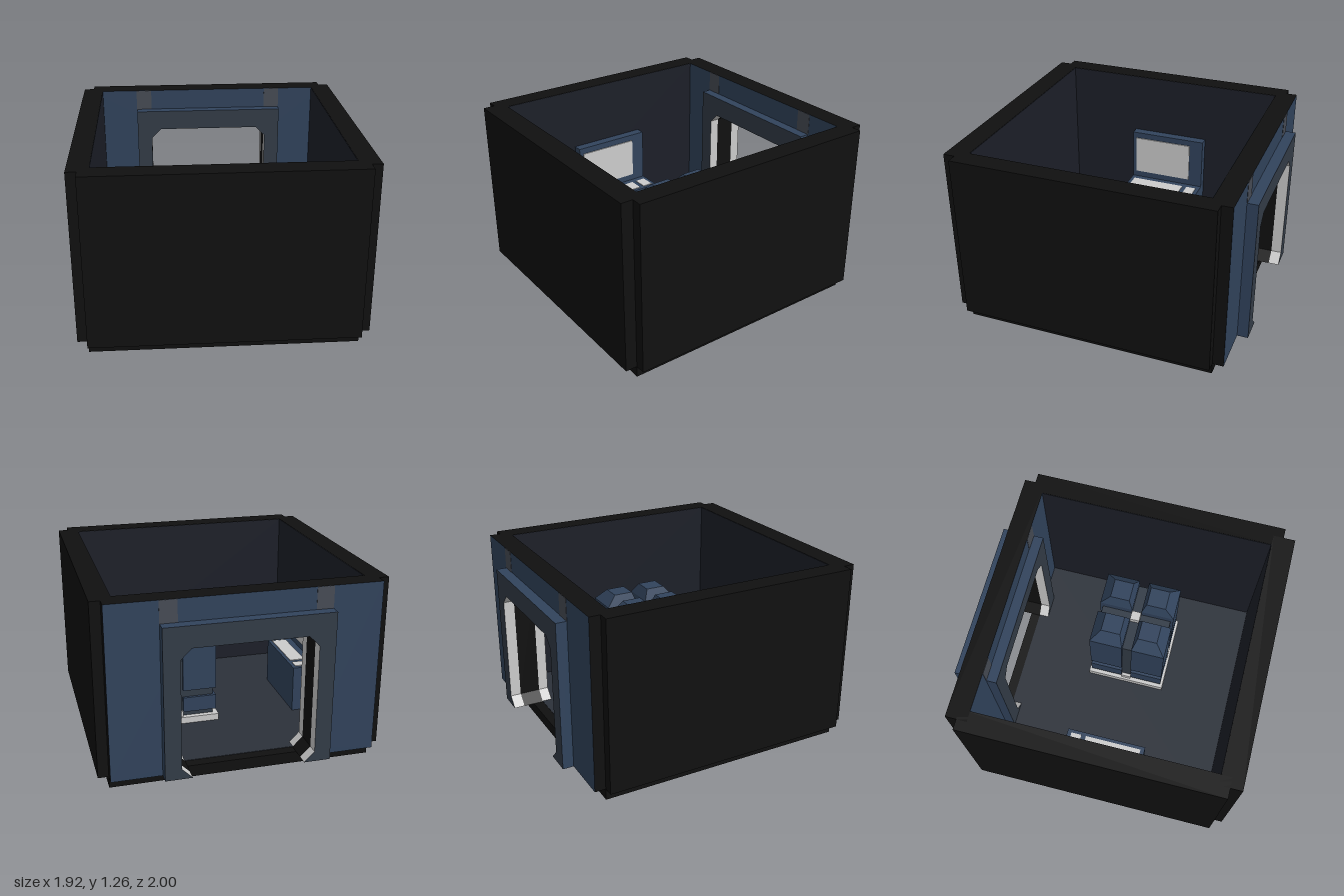
import * as THREE from 'three';

const mat = (color) => new THREE.MeshStandardMaterial({ color, flatShading: true });
const black = mat(0x101010);
const lining = mat(0x1c1f28);
const floorTone = mat(0x2c313a);
const blue = mat(0x31435c);
const slate = mat(0x333c47);
const stripeTone = mat(0x474c55);
const grey = mat(0xcccccc);

const FLOOR = 0.08, TOP = 1.26;

// Box given by its minimum and maximum corners
function box(parent, name, material, [x0, y0, z0], [x1, y1, z1]) {
  const mesh = new THREE.Mesh(new THREE.BoxGeometry(x1 - x0, y1 - y0, z1 - z0), material);
  mesh.position.set((x0 + x1) / 2, (y0 + y1) / 2, (z0 + z1) / 2);
  mesh.name = name;
  parent.add(mesh);
  return mesh;
}

// Doorway outline with cut corners, grown outward by g, from right foot to left foot
function doorway(g) {
  const w = 0.445 + g, t = 0.965 + g, c = 0.07;
  const half = [[w - c + g * 0.4, FLOOR], [w, FLOOR + c], [w, t - c], [w - c, t]];
  return [...half, ...half.map(([x, y]) => [-x, y]).reverse()];
}

// Arch between an outer outline and the doorway, pulled along z
function arch(parent, name, materials, outer, g, z0, z1) {
  const points = [...outer, ...doorway(g).reverse()].map(([x, y]) => new THREE.Vector2(x, y));
  const geo = new THREE.ExtrudeGeometry(new THREE.Shape(points), { depth: z1 - z0, bevelEnabled: false });
  const mesh = new THREE.Mesh(geo, materials);
  mesh.position.z = z0;
  mesh.name = name;
  parent.add(mesh);
}

const rectOutline = (w, t) => [[w, FLOOR], [w, t], [-w, t], [-w, FLOOR]];

// Block whose upper edges slope in: wide on the outer sides, narrow on the inner ones
function bevelledBlock(parent, sx, sz, cx, cz) {
  const inner = 0.035, outer = 0.275, low = 0.33, shoulder = 0.75, top = 0.83;
  const geo = new THREE.BoxGeometry(1, 1, 1, 1, 2, 1);
  const p = geo.attributes.position;
  for (let i = 0; i < p.count; i++) {
    const level = p.getY(i);
    const place = (v, s) => {
      const isOuter = v * s > 0;
      const inset = level > 0.4 ? (isOuter ? -0.07 : 0.03) : 0;
      return s * ((isOuter ? outer : inner) + inset);
    };
    const y = level > 0.4 ? top : level < -0.4 ? low : shoulder;
    p.setXYZ(i, cx + place(p.getX(i), sx), y, cz + place(p.getZ(i), sz));
  }
  geo.computeVertexNormals();
  const mesh = new THREE.Mesh(geo, blue);
  mesh.name = 'crateUpperBlock';
  parent.add(mesh);
}

function createShell() {
  const g = new THREE.Group();
  g.name = 'roomShell';
  // Floor slab and its inner covering
  box(g, 'floorSlab', black, [-0.89, 0, -0.85], [0.89, FLOOR, 0.92]);
  box(g, 'floorCovering', floorTone, [-0.82, FLOOR - 0.01, -0.78], [0.82, FLOOR + 0.003, 0.85]);
  // Front and side walls with inner linings
  box(g, 'frontWall', black, [-0.89, FLOOR, 0.85], [0.89, TOP, 1]);
  box(g, 'frontLining', lining, [-0.82, FLOOR, 0.847], [0.82, TOP - 0.002, 0.851]);
  for (const s of [-1, 1]) {
    const wall = box(g, 'sideWall', black, [0.82, FLOOR, -0.85], [0.96, TOP, 0.92]);
    const skin = box(g, 'sideLining', lining, [0.817, FLOOR, -0.78], [0.821, TOP - 0.002, 0.85]);
    wall.position.x *= s;
    skin.position.x *= s;
  }
  return g;
}

function createDoorWall() {
  const g = new THREE.Group();
  g.name = 'doorWall';
  arch(g, 'backWall', [blue, black], rectOutline(0.89, TOP), 0, -0.925, -0.78);
  // Door surround on both faces of the wall, with a pale lining in the opening
  for (const [z0, z1] of [[-1, -0.925], [-0.78, -0.71]]) {
    arch(g, 'doorSurround', [slate, blue], rectOutline(0.555, 1.11), 0.006, z0, z1);
    arch(g, 'doorLining', [slate, grey], doorway(0.006), 0, z0, z1);
  }
  // Paler upright stripes above the door
  for (const x of [-0.5, 0.5])
    box(g, 'wallStripe', stripeTone, [x - 0.057, 1.1, -0.927], [x + 0.057, TOP - 0.001, -0.778]);
  return g;
}

function createCrate() {
  const g = new THREE.Group();
  g.name = 'crate';
  const cx = 0.292, cz = 0.033;
  const centred = (name, m, h, y0, y1) => box(g, name, m, [cx - h, y0, cz - h], [cx + h, y1, cz + h]);
  centred('crateBase', grey, 0.292, FLOOR, 0.13);
  centred('crateCore', slate, 0.255, 0.13, 0.7);
  centred('crateCentrePost', grey, 0.034, 0.7, 0.74);
  // Four bevelled blocks above four low drawers, split by a cross of grooves
  for (const sx of [-1, 1]) for (const sz of [-1, 1]) {
    bevelledBlock(g, sx, sz, cx, cz);
    const drawer = box(g, 'crateLowerBlock', blue, [-0.12, 0.165, -0.12], [0.12, 0.275, 0.12]);
    drawer.position.x = cx + sx * 0.155;
    drawer.position.z = cz + sz * 0.155;
  }
  // Pale clips at the feet of the grooves
  for (const s of [-1, 1]) {
    box(g, 'crateClip', grey, [cx - 0.035, 0.13, cz + s * 0.265 - 0.012], [cx + 0.035, 0.17, cz + s * 0.265 + 0.012]);
    box(g, 'crateClip', grey, [cx + s * 0.265 - 0.012, 0.13, cz - 0.035], [cx + s * 0.265 + 0.012, 0.17, cz + 0.035]);
  }
  return g;
}

function createConsole() {
  const g = new THREE.Group();
  g.name = 'wallConsole';
  const z0 = -0.255, z1 = 0.325;
  // Upright back with a framed screen
  box(g, 'consoleBack', blue, [-0.82, FLOOR, z0], [-0.75, 0.81, z1]);
  box(g, 'consoleScreen', grey, [-0.755, 0.47, -0.15], [-0.742, 0.765, 0.295]);
  // Desk with two pale pads
  box(g, 'consoleDesk', blue, [-0.75, FLOOR, z0], [-0.565, 0.42, z1]);
  box(g, 'smallPad', grey, [-0.7, 0.41, -0.225], [-0.59, 0.425, -0.15]);
  box(g, 'largePad', grey, [-0.7, 0.41, -0.115], [-0.59, 0.425, 0.295]);
  return g;
}

export function createModel() {
  const model = new THREE.Group();
  model.name = 'room';
  model.add(createShell(), createDoorWall(), createCrate(), createConsole());
  return model;
}
